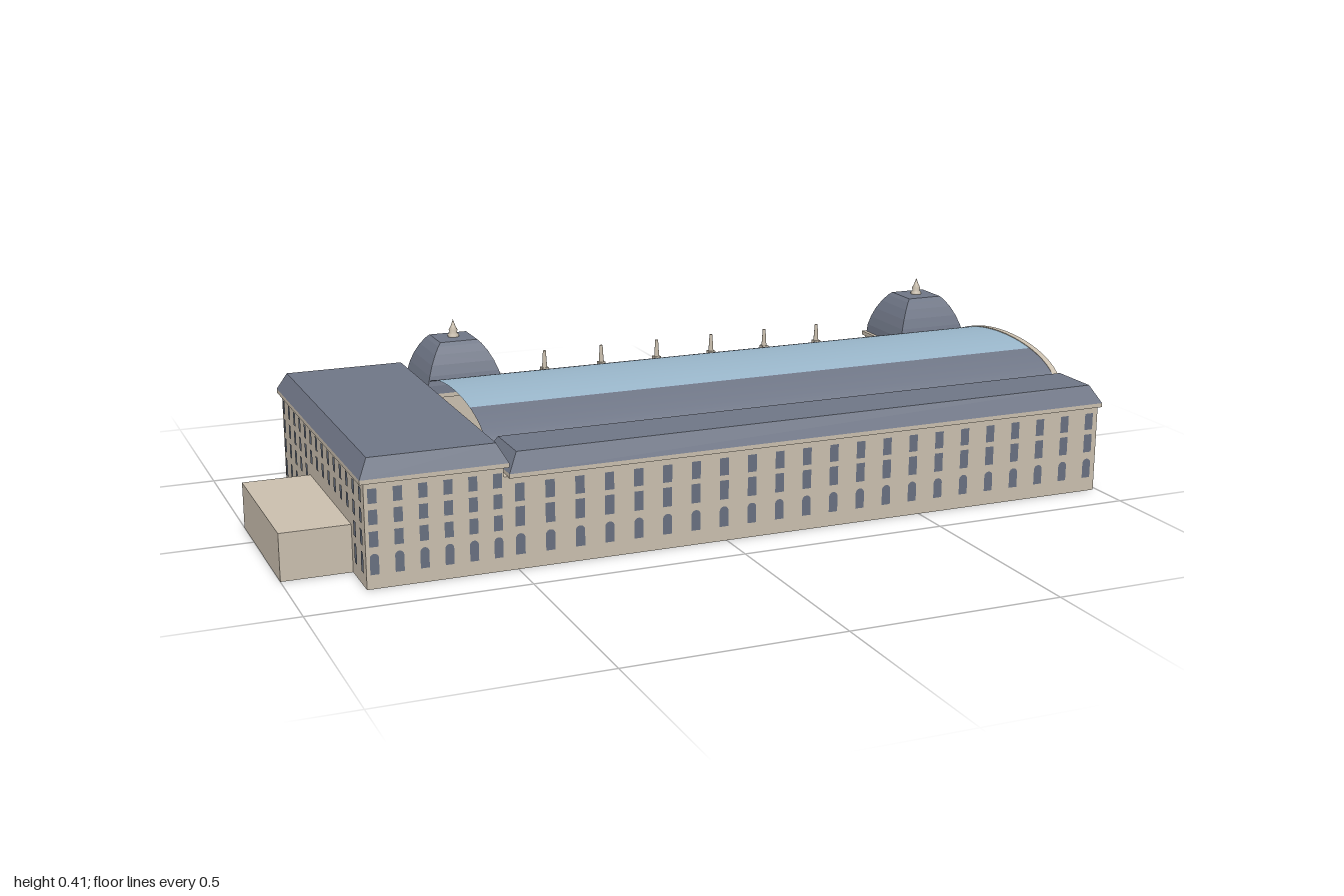
import * as THREE from 'three';
import { mergeGeometries } from 'three/addons/utils/BufferGeometryUtils.js';

const mat = (name, color) => {
  const m = new THREE.MeshStandardMaterial({ color, side: THREE.DoubleSide });
  m.name = name;
  return m;
};

export function createModel() {
  const stone = mat('stone', 0xcabfae);
  const slate = mat('slate', 0x6f7686);
  const glass = mat('glass', 0x9ab7cb);
  const pane = mat('window pane', 0x687080);
  const root = new THREE.Group();

  const add = (name, geo, material, parent = root) => {
    const m = new THREE.Mesh(geo, material);
    m.name = name;
    parent.add(m);
    return m;
  };
  // Box given by its limits on each axis
  const box = (x0, x1, y0, y1, z0, z1) =>
    new THREE.BoxGeometry(x1 - x0, y1 - y0, z1 - z0)
      .translate((x0 + x1) / 2, (y0 + y1) / 2, (z0 + z1) / 2);
  // Same, without its floor
  const shell = (...limits) => {
    const g = box(...limits);
    const idx = Array.from(g.index.array);
    idx.splice(18, 6);
    g.setIndex(idx);
    g.clearGroups();
    return g;
  };
  // Box whose top is drawn inward to make sloped roof sides
  const mansard = (x0, x1, y0, y1, z0, z1, inset) => {
    const g = box(x0, x1, y0, y1, z0, z1);
    const p = g.attributes.position;
    const mx = (x0 + x1) / 2, mz = (z0 + z1) / 2, my = (y0 + y1) / 2;
    for (let i = 0; i < p.count; i++) {
      if (p.getY(i) < my) continue;
      p.setX(i, p.getX(i) - Math.sign(p.getX(i) - mx) * inset);
      p.setZ(i, p.getZ(i) - Math.sign(p.getZ(i) - mz) * inset);
    }
    g.computeVertexNormals();
    return g;
  };
  // Flat window outline, with an optional round head
  const windowGeo = (w, y0, y1, arched) => {
    const s = new THREE.Shape();
    s.moveTo(-w / 2, y0);
    s.lineTo(w / 2, y0);
    if (arched) s.absarc(0, y1 - w / 2, w / 2, 0, Math.PI, false);
    else { s.lineTo(w / 2, y1); s.lineTo(-w / 2, y1); }
    return new THREE.ShapeGeometry(s, 10);
  };
  // Grid of windows; turn is the wall direction, place maps a column to its position
  const windows = (name, columns, rows, width, turn, place) => {
    const parts = [];
    for (const c of columns) for (const [y0, y1, arched] of rows) {
      const [x, z] = place(c);
      parts.push(windowGeo(width, y0, y1, arched).rotateY(turn).translate(x, 0, z));
    }
    add(name, mergeGeometries(parts), pane);
  };
  const spaced = (n, a, b) => Array.from({ length: n }, (_, i) => a + (b - a) * i / (n - 1));

  // West block, its cornice, roof and low annex
  add('westBlock', shell(-0.84, -0.53, 0, 0.24, -0.39, 0.4), stone);
  add('westCornice', box(-0.85, -0.52, 0.238, 0.248, -0.4, 0.41), stone);
  add('westRoof', mansard(-0.85, -0.52, 0.248, 0.29, -0.4, 0.41, 0.022), slate);
  add('annex', shell(-1, -0.84, 0, 0.11, -0.11, 0.28), stone);

  // Front wing
  add('frontWing', shell(-0.53, 0.99, 0, 0.215, 0.24, 0.4), stone);
  add('frontCornice', box(-0.52, 0.995, 0.213, 0.223, 0.235, 0.41), stone);
  add('frontRoof', mansard(-0.52, 0.995, 0.223, 0.265, 0.235, 0.41, 0.024), slate);

  // Windows of the front wing and west block
  const rows3 = [[0.035, 0.083, true], [0.1, 0.145], [0.157, 0.198]];
  const rows4 = [[0.033, 0.08, true], [0.095, 0.13], [0.145, 0.178], [0.192, 0.225]];
  windows('frontWingWindows', spaced(22, -0.495, 0.965), rows3, 0.022, 0, c => [c, 0.402]);
  windows('wingEndWindows', [0.265, 0.322, 0.38], rows3, 0.022, Math.PI / 2, c => [0.992, c]);
  const westColumns = spaced(6, -0.822, -0.545);
  windows('westFrontWindows', westColumns, rows4, 0.02, 0, c => [c, 0.402]);
  windows('westBackWindows', westColumns, rows4, 0.02, Math.PI, c => [c, -0.392]);
  const sideColumns = spaced(14, -0.365, 0.375);
  const besideAnnex = c => c > -0.125 && c < 0.295;
  const onSide = c => [-0.842, c];
  windows('westSideWindows', sideColumns.filter(c => !besideAnnex(c)), rows4, 0.02, -Math.PI / 2, onSide);
  windows('westUpperWindows', sideColumns.filter(besideAnnex), rows4.slice(2), 0.02, -Math.PI / 2, onSide);

  // Vaulted hall roof in three strips: slate, glass, slate
  const vaultStrip = (name, a0, a1, material) => {
    const g = new THREE.PlaneGeometry(1.5, 1, 1, 16);
    const p = g.attributes.position;
    for (let i = 0; i < p.count; i++) {
      const a = THREE.MathUtils.degToRad(a0 + (a1 - a0) * (0.5 - p.getY(i)));
      p.setXYZ(i, p.getX(i) + 0.235, 0.225 + 0.082 * Math.sin(a), -0.02 - 0.255 * Math.cos(a));
    }
    g.computeVertexNormals();
    add(name, g, material);
  };
  vaultStrip('vaultBack', 0, 58, slate);
  vaultStrip('vaultSkylight', 58, 121, glass);
  vaultStrip('vaultFront', 121, 180, slate);

  // Gable wall closing the hall, with its fan window
  const gable = new THREE.Shape();
  gable.moveTo(-0.24, 0);
  gable.lineTo(0.39, 0);
  gable.lineTo(0.39, 0.215);
  gable.lineTo(0.275, 0.215);
  gable.absellipse(0.02, 0.225, 0.255, 0.084, 0, Math.PI, false, 0);
  gable.lineTo(-0.24, 0.225);
  add('gableWall', new THREE.ExtrudeGeometry(gable, { depth: 0.015, bevelEnabled: false, curveSegments: 32 })
    .rotateY(Math.PI / 2).translate(0.975, 0, 0), stone);
  const fan = new THREE.Shape();
  fan.absellipse(0.02, 0.225, 0.195, 0.067, 0, Math.PI, false, 0);
  add('gableWindow', new THREE.ShapeGeometry(fan, 32).rotateY(Math.PI / 2).translate(0.992, 0, 0), glass);

  // Rear facade with tall arches, flat roof and parapet figures
  add('rearFacade', box(-0.53, 0.985, 0, 0.212, -0.39, -0.37), stone);
  add('rearFlatRoof', box(-0.53, 0.99, 0.21, 0.22, -0.397, -0.27), stone);
  windows('rearArches', spaced(7, -0.24, 0.7), [[0.06, 0.172, true]], 0.088, Math.PI, c => [c, -0.392]);
  for (const x of spaced(6, -0.16, 0.62)) {
    const figure = new THREE.Group();
    figure.name = 'parapetFigure';
    figure.position.set(x, 0.22, -0.388);
    add('pedestal', box(-0.009, 0.009, 0, 0.018, -0.009, 0.009), stone, figure);
    add('statue', new THREE.CylinderGeometry(0.004, 0.007, 0.044, 8).translate(0, 0.04, 0), stone, figure);
    root.add(figure);
  }

  // Domed corner pavilions
  const domeProfile = [[0.096, 0.245], [0.094, 0.265], [0.088, 0.288], [0.079, 0.312], [0.067, 0.335],
    [0.055, 0.352], [0.047, 0.36], [0, 0.362]].map(([r, y]) => new THREE.Vector2(r * Math.SQRT2, y));
  const finialProfile = [[0.014, 0.36], [0.014, 0.367], [0.009, 0.371], [0.011, 0.378], [0.006, 0.388],
    [0.003, 0.396], [0, 0.405]].map(([r, y]) => new THREE.Vector2(r, y));
  for (const x of [-0.425, 0.88]) {
    const pavilion = new THREE.Group();
    pavilion.name = 'pavilion';
    pavilion.position.set(x, 0, -0.308);
    root.add(pavilion);
    add('tower', box(-0.1, 0.1, 0, 0.235, -0.097, 0.09), stone, pavilion);
    add('towerCornice', box(-0.106, 0.106, 0.235, 0.245, -0.104, 0.096), stone, pavilion);
    const dome = new THREE.LatheGeometry(domeProfile, 4, Math.PI / 4).toNonIndexed();
    dome.computeVertexNormals();
    add('dome', dome, slate, pavilion);
    add('finial', new THREE.LatheGeometry(finialProfile, 12), stone, pavilion);
    // Arched dormer: outer ring around a recessed panel
    const ring = new THREE.Shape();
    ring.moveTo(-0.062, 0.245);
    ring.lineTo(0.062, 0.245);
    ring.absarc(0, 0.254, 0.062, 0, Math.PI, false);
    const hole = new THREE.Path();
    hole.absarc(0, 0.254, 0.042, 0, Math.PI, false);
    ring.holes.push(hole);
    add('dormerArch', new THREE.ExtrudeGeometry(ring, { depth: 0.04, bevelEnabled: false, curveSegments: 16 })
      .translate(0, 0, -0.103), stone, pavilion);
    add('dormerPanel', windowGeo(0.088, 0.246, 0.298, true).rotateY(Math.PI).translate(0, 0, -0.097), stone, pavilion);
    add('towerWindow', windowGeo(0.036, 0.085, 0.15, true).rotateY(Math.PI).translate(0, 0, -0.099), pane, pavilion);
  }
  return root;
}
